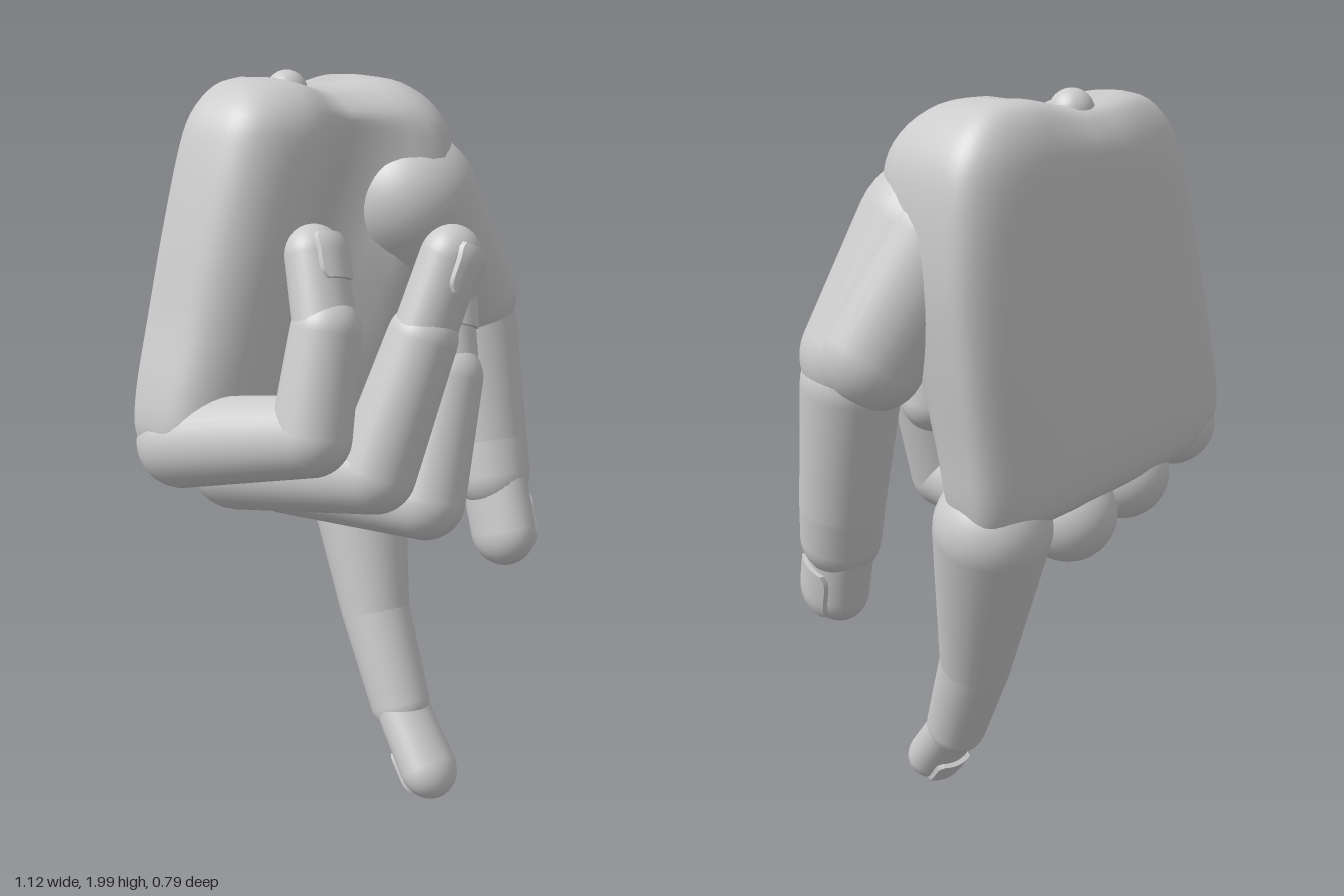
import * as THREE from 'three';

const material = new THREE.MeshStandardMaterial({ color: 0xcccccc, roughness: 0.7 });
const V = (a) => new THREE.Vector3(...a);
const { smoothstep, clamp } = THREE.MathUtils;

function add(parent, name, geometry) {
  const mesh = new THREE.Mesh(geometry, material);
  mesh.name = name;
  parent.add(mesh);
  return mesh;
}

// Frame with y along a direction and z as close as possible to the given normal
function frame(dir, normal) {
  const y = dir.clone().normalize();
  const x = new THREE.Vector3().crossVectors(y, normal).normalize();
  const z = new THREE.Vector3().crossVectors(x, y);
  return new THREE.Matrix4().makeBasis(x, y, z);
}

// Tapered, round-ended segment from a to b; flat squeezes it along the normal
function segment(parent, name, a, b, ra, rb, normal, flat = 1) {
  const dir = V(b).sub(V(a)), len = dir.length(), pts = [];
  const tilt = Math.asin(clamp((ra - rb) / len, -0.9, 0.9));
  for (let i = 0; i <= 10; i++) {
    const t = -Math.PI / 2 + (tilt + Math.PI / 2) * i / 10;
    pts.push(new THREE.Vector2(ra * Math.cos(t), ra * Math.sin(t)));
  }
  for (let i = 0; i <= 10; i++) {
    const t = tilt + (Math.PI / 2 - tilt) * i / 10;
    pts.push(new THREE.Vector2(Math.max(0, rb * Math.cos(t)), len + rb * Math.sin(t)));
  }
  const g = new THREE.LatheGeometry(pts, 32);
  g.scale(1, 1, flat);
  g.applyMatrix4(frame(dir, V(normal)));
  g.translate(...a);
  add(parent, name, g);
}

// Thin nail plate wrapped onto the rounded end of the last segment
function nail(parent, a, b, r, normal, flat) {
  const g = new THREE.BoxGeometry(1.28, 1.45, 0.03, 10, 10, 1);
  const p = g.attributes.position;
  for (let i = 0; i < p.count; i++) {
    const v = p.getY(i) / 0.725;
    const x = p.getX(i) * (1 - 0.22 * v ** 6), y = p.getY(i) - 0.15;
    const height = Math.sqrt(1 - x * x - Math.max(0, y) ** 2) * r * flat;
    p.setXYZ(i, x * r, y * r, height + p.getZ(i) - 0.003);
  }
  g.computeVertexNormals();
  g.applyMatrix4(frame(V(b).sub(V(a)), V(normal)));
  g.translate(...b);
  add(parent, 'nail', g);
}

// Finger: joints are [x, y, z, radius] from knuckle to tip
function finger(parent, name, joints, normal, flat) {
  const group = new THREE.Group();
  group.name = name;
  ['innerPhalanx', 'middlePhalanx', 'tipPhalanx'].forEach((part, i) => {
    const a = joints[i], b = joints[i + 1], last = i === 2;
    segment(group, part, a.slice(0, 3), b.slice(0, 3), a[3] * (last ? 0.97 : 1), b[3],
      normal, last ? flat : 1);
  });
  nail(group, joints[2].slice(0, 3), joints[3].slice(0, 3), joints[3][3], normal, flat);
  parent.add(group);
}

// Palm sections from wrist to knuckles: y, xMin, xMax, zBack, zFront outer, middle, thumb side
const PALM = [
  [1.985, -0.2, 0.2, -0.28, -0.18, -0.2, -0.14],
  [1.965, -0.27, 0.28, -0.33, -0.09, -0.12, -0.03],
  [1.9, -0.34, 0.35, -0.365, -0.03, -0.06, 0.06],
  [1.8, -0.38, 0.39, -0.38, -0.01, -0.07, 0.1],
  [1.6, -0.435, 0.4, -0.385, -0.02, -0.12, 0.09],
  [1.4, -0.485, 0.38, -0.39, -0.04, -0.14, 0],
  [1.2, -0.535, 0.345, -0.39, -0.06, -0.13, -0.06],
  [1.07, -0.55, 0.325, -0.385, -0.07, -0.11, -0.09],
  [1.0, -0.51, 0.3, -0.36, -0.1, -0.12, -0.1],
  [0.965, -0.43, 0.24, -0.3, -0.16, -0.16, -0.16],
];

function palmGeometry() {
  const N = 64, STEP = 4, pos = [], idx = [];
  const rows = [];
  const last = PALM.length - 1;
  for (let i = 0; i <= last * STEP; i++) {
    const k = Math.min(Math.floor(i / STEP), last - 1), t = i / STEP - k;
    const at = (n) => PALM[clamp(n, 0, last)];
    rows.push(PALM[0].map((_, c) => {
      const [p, q, r, s] = [at(k - 1)[c], at(k)[c], at(k + 1)[c], at(k + 2)[c]];
      return q + 0.5 * t * (r - p + t * (2 * p - 5 * q + 4 * r - s + t * (3 * (q - r) + s - p)));
    }));
  }
  const power = (v, e) => Math.sign(v) * Math.abs(v) ** e;
  // Slanted knuckle line and a shallow dip in the wrist
  const shapeY = (x, y) => y - 0.12 * x * (1 - smoothstep(y, 0.95, 1.5))
    - 0.025 * smoothstep(y, 1.85, 1.96) * (1 - smoothstep(Math.abs(x), 0, 0.18));
  for (const [y, x0, x1, zb, zo, zm, zt] of rows) {
    for (let j = 0; j < N; j++) {
      const a = j / N * Math.PI * 2, e = j < N / 2 ? 0.67 : 0.55;
      const u = power(Math.cos(a), e), w = power(Math.sin(a), e);
      const x = (x0 + x1) / 2 + u * (x1 - x0) / 2;
      const zf = zm + ((u < 0 ? zo : zt) - zm) * smoothstep(Math.abs(u), 0, 0.55);
      const mid = (zb + Math.min(zo, zm, zt)) / 2;
      pos.push(x, shapeY(x, y), mid + w * (w > 0 ? zf - mid : mid - zb));
    }
  }
  for (let i = 0; i < rows.length - 1; i++) {
    for (let j = 0; j < N; j++) {
      const a = i * N + j, b = i * N + (j + 1) % N;
      idx.push(a, b, a + N, b, b + N, a + N);
    }
  }
  // End caps
  const top = pos.length / 3, base = (rows.length - 1) * N;
  pos.push(0, 1.96, -0.22, -0.1, 0.975, -0.23);
  for (let j = 0; j < N; j++) {
    const n = (j + 1) % N;
    idx.push(top, n, j, top + 1, base + j, base + n);
  }
  const g = new THREE.BufferGeometry();
  g.setAttribute('position', new THREE.Float32BufferAttribute(pos, 3));
  g.setIndex(idx);
  g.computeVertexNormals();
  return g;
}

export function createModel() {
  const hand = new THREE.Group();
  hand.name = 'pointingHand';

  add(hand, 'palm', palmGeometry());
  add(hand, 'wristPeg', new THREE.SphereGeometry(0.056, 32, 20)).position.set(-0.02, 1.944, -0.26);

  // Thumb mound, its outer flank and the web joining it to the palm
  segment(hand, 'thumbMound', [0.24, 1.66, -0.06], [0.42, 1.38, 0.015], 0.19, 0.14, [0, 0, 1]);
  segment(hand, 'thumbFlank', [0.27, 1.66, -0.12], [0.412, 1.39, -0.03], 0.15, 0.14, [0, 0, 1]);
  segment(hand, 'thumbWeb', [0.2, 1.56, -0.12], [0.28, 1.27, -0.1], 0.14, 0.08, [0, 0, 1]);

  // Straight index finger, nail on the back
  finger(hand, 'indexFinger', [
    [0.195, 0.945, -0.222, 0.152], [0.125, 0.5, -0.08, 0.098],
    [0.095, 0.25, 0.035, 0.085], [0.065, 0.095, 0.16, 0.088],
  ], [0, -0.61, -0.79], 0.82);

  // Curled fingers, nails facing forward
  finger(hand, 'middleFinger', [
    [-0.045, 0.93, -0.25, 0.128], [-0.035, 0.93, 0.212, 0.105],
    [0.06, 1.24, 0.212, 0.09], [0.118, 1.415, 0.155, 0.083],
  ], [0, 0.2, 1], 0.88);
  finger(hand, 'ringFinger', [
    [-0.25, 0.995, -0.25, 0.125], [-0.235, 1.05, 0.205, 0.103],
    [-0.14, 1.38, 0.275, 0.088], [-0.077, 1.57, 0.31, 0.083],
  ], [0, 0, 1], 0.88);
  finger(hand, 'littleFinger', [
    [-0.445, 1.095, -0.25, 0.117], [-0.42, 1.175, 0.16, 0.098],
    [-0.37, 1.42, 0.165, 0.085], [-0.335, 1.585, 0.105, 0.078],
  ], [0, 0.2, 1], 0.88);

  // Thumb, nail facing outward
  finger(hand, 'thumb', [
    [0.435, 1.31, 0.025, 0.125], [0.42, 0.98, 0.098, 0.11],
    [0.408, 0.88, 0.125, 0.106], [0.39, 0.723, 0.178, 0.102],
  ], [1, 0, 0.15], 0.8);

  return hand;
}
